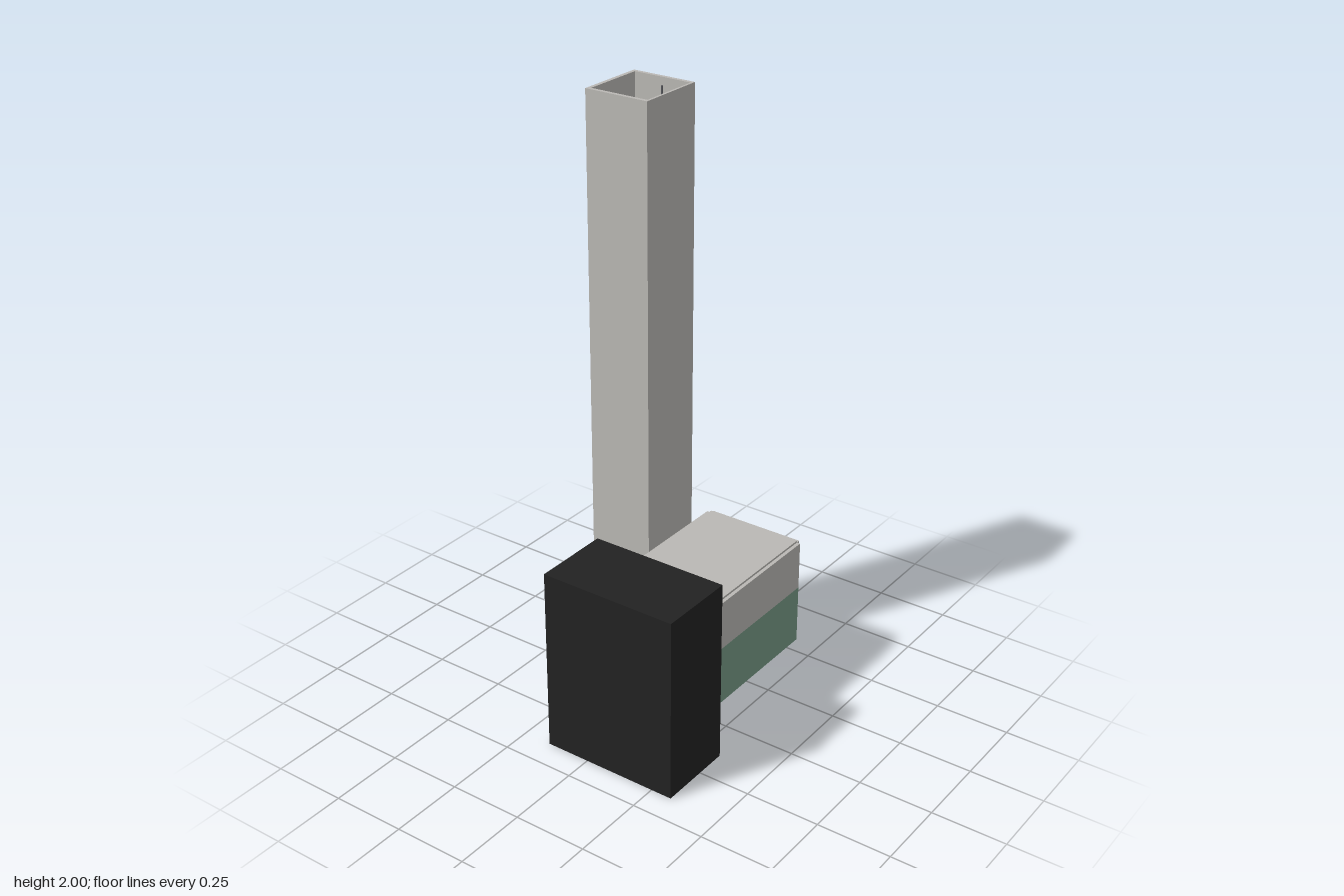
import * as THREE from 'three';

const mat = (name, color) => {
  const m = new THREE.MeshStandardMaterial({ color });
  m.name = name;
  return m;
};

export function createModel() {
  const grey = mat('concreteGrey', 0xbab8b4);
  const green = mat('paintGreen', 0x769a85);
  const black = mat('black', 0x222222);
  const steel = mat('darkSteel', 0x55565a);

  const model = new THREE.Group();
  model.name = 'elevatorLobby';

  const group = (name) => {
    const g = new THREE.Group();
    g.name = name;
    model.add(g);
    return g;
  };
  // Box given by its limits on each axis
  const box = (parent, name, material, [x0, x1], [y0, y1], [z0, z1]) => {
    const mesh = new THREE.Mesh(new THREE.BoxGeometry(x1 - x0, y1 - y0, z1 - z0), material);
    mesh.position.set((x0 + x1) / 2, (y0 + y1) / 2, (z0 + z1) / 2);
    mesh.name = name;
    parent.add(mesh);
  };

  // Black block beside the lobby
  box(model, 'stairBlock', black, [-0.407, -0.141], [0, 0.63], [-0.152, 0.322]);

  // Lobby: floor, ceiling and two-tone walls
  const lobby = group('lobby');
  const low = 0.132, split = 0.335, high = 0.502;
  const wall = (name, x, z) => {
    box(lobby, name + 'Lower', green, x, [low, split], z);
    box(lobby, name + 'Upper', grey, x, [split, high], z);
  };
  box(lobby, 'floor', grey, [-0.113, 0.391], [0.124, 0.136], [-0.085, 0.255]);
  box(lobby, 'ceiling', grey, [-0.113, 0.391], [0.497, 0.509], [-0.085, 0.255]);
  box(lobby, 'threshold', grey, [-0.141, -0.113], [0.115, 0.134], [-0.011, 0.175]);
  wall('frontWall', [-0.113, 0.391], [0.255, 0.267]);
  wall('leftWall', [0.391, 0.405], [-0.085, 0.255]);

  // Back wall with the elevator doorway
  const doorX = [0.12, 0.24], doorTop = 0.4;
  wall('backWallRight', [-0.035, doorX[0]], [-0.1, -0.085]);
  wall('backWallLeft', [doorX[1], 0.391], [-0.1, -0.085]);
  box(lobby, 'backWallLintel', grey, doorX, [doorTop, high], [-0.1, -0.085]);

  // Door piers either side of the opening toward the block
  for (const z of [[-0.085, -0.02], [0.176, 0.255]])
    box(lobby, 'doorPier', green, [-0.128, -0.113], [low, high], z);

  // Hollow elevator shaft
  const shaft = group('shaft');
  box(shaft, 'backWall', grey, [0.059, 0.299], [0, 2], [-0.325, -0.312]);
  for (const x of [[0.059, 0.072], [0.286, 0.299]])
    box(shaft, 'sideWall', grey, x, [0, 2], [-0.312, -0.1]);
  const front = [-0.108, -0.1];
  box(shaft, 'frontWallBelow', grey, [0.072, 0.286], [0, 0.136], front);
  box(shaft, 'frontWallAbove', grey, [0.072, 0.286], [doorTop, 2], front);
  for (const x of [[0.072, doorX[0]], [doorX[1], 0.286]])
    box(shaft, 'frontWallSide', grey, x, [0.136, doorTop], front);
  for (const x of [0.09, 0.268])
    box(shaft, 'guideRail', steel, [x - 0.002, x + 0.002], [0, 1.98], [-0.2, -0.196]);

  // Elevator car and its sliding doors
  const car = group('car');
  box(car, 'cabin', grey, [0.102, 0.256], [0.136, 0.43], [-0.288, -0.114]);
  for (const x of [[0.12, 0.179], [0.181, 0.24]])
    box(car, 'slidingDoor', steel, x, [0.138, doorTop - 0.002], [-0.113, -0.109]);

  return model;
}
